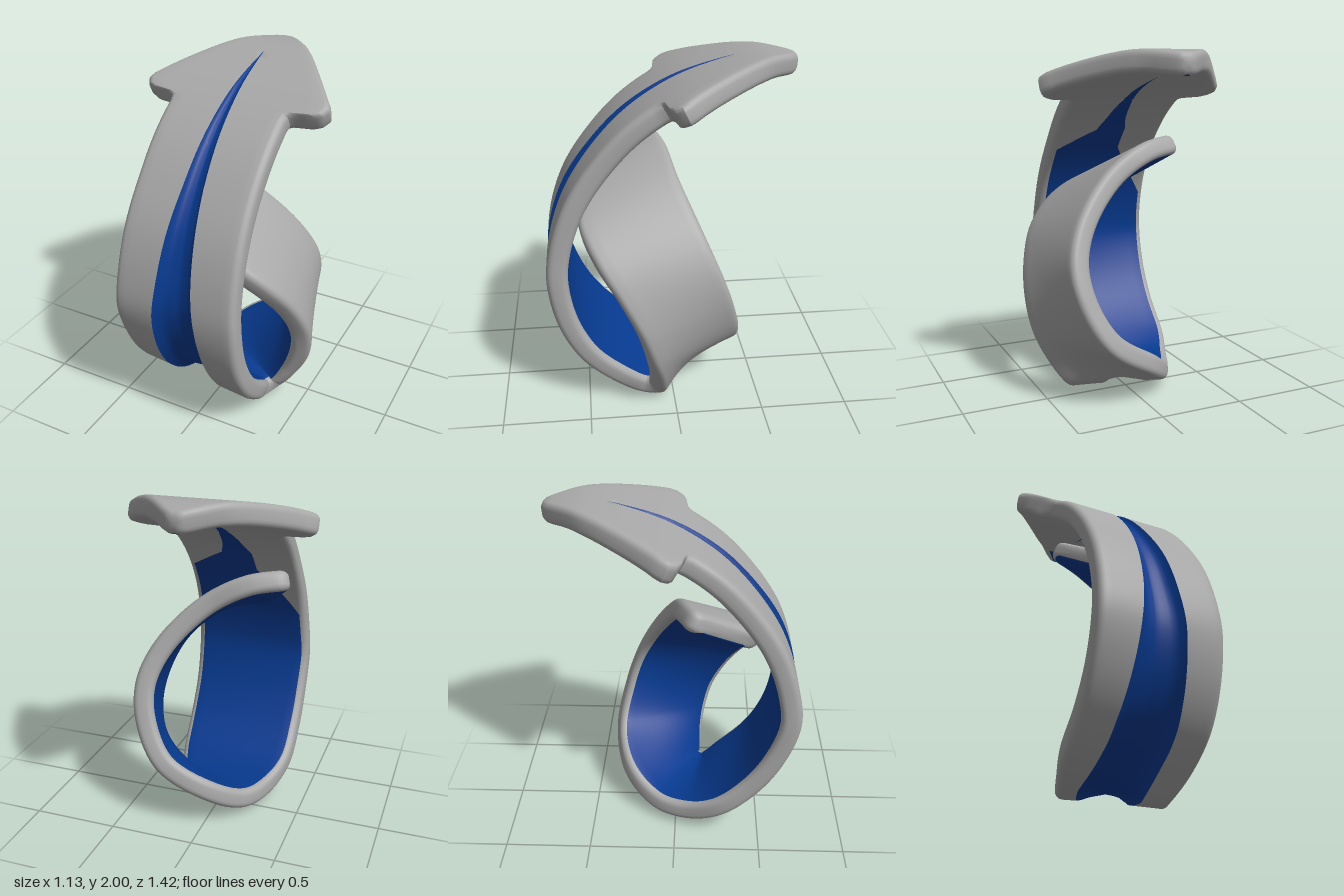
import * as THREE from 'three';
import { toCreasedNormals } from 'three/addons/utils/BufferGeometryUtils.js';

const THICK = 0.12, BEVEL = 0.037, SIDE = 6, MID = 12, ARC = 4;

// piecewise linear lookup in [t, value] pairs
function lookup(list, t) {
  if (t <= list[0][0]) return list[0][1];
  for (let i = 1; i < list.length; i++) {
    const [a, va] = list[i - 1], [b, vb] = list[i];
    if (t <= b) return va + (vb - va) * (t - a) / (b - a);
  }
  return list[list.length - 1][1];
}

// side profile [z, y] of the head and the front of the band
const profile = [[-0.71, 1.985], [-0.5, 2], [-0.25, 1.95], [0, 1.86], [0.25, 1.7], [0.45, 1.49],
  [0.6, 1.26], [0.69, 1], [0.71, 0.8], [0.66, 0.53], [0.54, 0.3]];
// half width of the band down the front
const frontWidth = [[0, 0.34], [5, 0.345], [8, 0.37], [10, 0.37]];
// how far the band's right edge has begun to turn inwards
const frontTwist = [[8, 0], [9, 0.03], [10, 0.05]];
// back and front edges of the coil that follows
const coilBack = [[-0.38, 0.15, 0.29], [-0.32, 0.06, 0.08], [-0.22, 0.06, -0.14], [-0.04, 0.18, -0.33],
  [0.25, 0.37, -0.4], [0.4, 0.63, -0.345], [0.43, 0.86, -0.265], [0.34, 1.09, -0.165],
  [0.11, 1.34, -0.045], [-0.14, 1.48, 0.02], [-0.38, 1.52, 0.11]];
const coilFront = [[0.335, 0.125, 0.36], [0.3, 0.003, 0.185], [0.36, 0.035, 0.075], [0.47, 0.19, 0.075],
  [0.55, 0.37, 0.13], [0.575, 0.57, 0.2], [0.54, 0.78, 0.31], [0.45, 0.97, 0.43],
  [0.28, 1.13, 0.52], [0.08, 1.23, 0.525], [-0.18, 1.28, 0.49]];

// half width of the arrow head
const headWidth = [[0, 0.03], [0.04, 0.045], [0.1, 0.06], [0.25, 0.092], [0.5, 0.136], [2.64, 0.503], [2.8, 0.532],
  [2.95, 0.545], [3.1, 0.525], [3.17, 0.49], [3.2, 0.42], [3.22, 0.38], [3.28, 0.35], [3.4, 0.34]];
// half width of the outer groove, and its drift across the band
const grooveWidth = [[1.5, 0], [5, 0.06], [6, 0.085], [8, 0.13], [9, 0.15], [10, 0.168], [12, 0.175],
  [13.1, 0.13], [13.45, 0.08], [13.6, 0]];
const grooveShift = [[10.5, 0], [12, -0.08], [13.6, -0.28]];
// share of the inner face that is blue, and its drift across the band
const liningShare = [[0.04, 0], [0.1, 0.85], [0.6, 0.85], [0.65, 0], [1.6, 0], [3.1, 0.05], [3.4, 0.12],
  [4, 0.2], [4.4, 0.3], [5, 0.65], [6.5, 1]];
const liningShift = [[4.4, 0], [5, 0.35], [6.5, 0]];

function edgeCurve(side, coil) {
  const front = profile.map(([z, y], i) => {
    const twist = side < 0 ? lookup(frontTwist, i) : 0;
    return new THREE.Vector3(-0.02 + side * lookup(frontWidth, i), y + twist * 0.6, z - twist);
  });
  return new THREE.CatmullRomCurve3([...front, ...coil.map(p => new THREE.Vector3(...p))]);
}

// columns across a face, gathered so that the middle ones fill c - g to c + g
function columns(g, c) {
  const out = [];
  for (let i = 0; i < SIDE; i++) out.push(-1 + (1 + c - g) * i / SIDE);
  for (let i = 0; i <= MID; i++) out.push(c + g * (2 * i / MID - 1));
  for (let i = 1; i <= SIDE; i++) out.push(c + g + (1 - c - g) * i / SIDE);
  return out;
}

function bandGeometry() {
  const left = edgeCurve(-1, coilBack), right = edgeCurve(1, coilFront);
  const last = left.points.length - 1;

  // rows along the band, dense around the head's corners
  const rows = headWidth.map(p => p[0]);
  for (let t = 0.6; t < 2.6; t += 0.15) rows.push(t);
  for (let t = 3.5; t < last - 0.35; t += 0.1) rows.push(t);
  for (const d of [0.3, 0.2, 0.12, 0.06, 0.02, 0]) rows.push(last - d);
  rows.push(13.55, 1.53);
  rows.sort((a, b) => a - b);

  const position = [], grey = [], blue = [];
  let ringSize = 0;
  for (const t of rows) {
    const p = t / last, e = 0.002;
    const L = left.getPoint(p), R = right.getPoint(p);
    const p0 = Math.max(0, p - e), p1 = Math.min(1, p + e);
    const dL = left.getPoint(p1).sub(left.getPoint(p0));
    const dR = right.getPoint(p1).sub(right.getPoint(p0));
    const mid = L.clone().lerp(R, 0.5), across = R.clone().sub(L);
    let h = t < 3.4 ? lookup(headWidth, t) : across.length() / 2;
    const toEnd = (last - t) / 0.3;
    if (toEnd < 1) h *= 0.75 + 0.25 * Math.sqrt(Math.max(0, 1 - (1 - toEnd) ** 2));
    across.normalize();
    const b = Math.min(BEVEL, h * 0.8), flat = h - b;
    const puff = Math.min(1, 0.55 + 0.45 * Math.sqrt(Math.max(0, Math.min(t / 0.12, toEnd * 2))));

    const gw = lookup(grooveWidth, t), deep = 0.075 * Math.min(1, gw / 0.1);
    const shift = lookup(grooveShift, t), g = Math.min(0.7, gw / flat), ring = [];
    columns(g, shift).forEach(s => {
      const v = g > 0 ? Math.min(1, Math.abs(s - shift) / g) : 1;
      ring.push([s * flat, deep * (0.65 * (1 - v ** 6) + 0.35 * (1 - v))]);
    });
    const rim = [];
    for (let i = 1; i <= ARC; i++) {
      const a = i / ARC * Math.PI / 2;
      rim.push([flat + b * Math.sin(a), BEVEL * (1 - Math.cos(a))]);
    }
    for (let i = ARC; i >= 1; i--) rim.push([rim[i - 1][0], THICK - rim[i - 1][1]]);
    ring.push(...rim);
    columns(lookup(liningShare, t), lookup(liningShift, t)).reverse().forEach(s => ring.push([s * flat, THICK]));
    ring.push(...rim.slice().reverse().map(([x, d]) => [-x, d]));

    ringSize = ring.length;
    for (const [x, d] of ring) {
      const s = THREE.MathUtils.clamp(x / h, -1, 1);
      const n = dL.clone().lerp(dR, (s + 1) / 2).cross(across).normalize();
      const depth = THICK / 2 + (d - THICK / 2) * puff;
      const v = mid.clone().addScaledVector(across, x).addScaledVector(n, -depth);
      position.push(v.x, v.y, v.z);
    }
  }

  // skin, sorted by colour
  const faceCols = 2 * SIDE + MID + 1, innerStart = faceCols + 2 * ARC;
  const inMiddle = c => c >= SIDE && c < SIDE + MID;
  for (let i = 0; i < rows.length - 1; i++) {
    const tm = (rows[i] + rows[i + 1]) / 2;
    for (let j = 0; j < ringSize; j++) {
      const groove = inMiddle(j) && lookup(grooveWidth, tm) > 0;
      const lining = inMiddle(j - innerStart) && lookup(liningShare, tm) > 0;
      const k = (j + 1) % ringSize, a = i * ringSize, c = a + ringSize;
      (groove || lining ? blue : grey).push(a + j, c + j, c + k, a + j, c + k, a + k);
    }
  }
  // end caps
  const end = (rows.length - 1) * ringSize;
  for (const [start, flip] of [[0, false], [end, true]]) {
    const centre = position.length / 3, sum = [0, 0, 0];
    for (let j = 0; j < ringSize; j++)
      for (let q = 0; q < 3; q++) sum[q] += position[(start + j) * 3 + q] / ringSize;
    position.push(...sum);
    for (let j = 0; j < ringSize; j++) {
      const a = start + j, c = start + (j + 1) % ringSize;
      grey.push(centre, flip ? c : a, flip ? a : c);
    }
  }

  const geo = new THREE.BufferGeometry();
  geo.setAttribute('position', new THREE.Float32BufferAttribute(position, 3));
  geo.setIndex([...grey, ...blue]);
  const out = toCreasedNormals(geo, 0.65);
  out.clearGroups();
  out.addGroup(0, grey.length, 0);
  out.addGroup(grey.length, blue.length, 1);
  return out;
}

export function createModel() {
  const metal = new THREE.MeshStandardMaterial({ color: 0xa8a8a8 });
  metal.name = 'grey metal';
  const enamel = new THREE.MeshStandardMaterial({ color: 0x073a90 });
  enamel.name = 'blue enamel';

  const group = new THREE.Group();
  group.name = 'arrowRing';
  const band = new THREE.Mesh(bandGeometry(), [metal, enamel]);
  band.name = 'coiledArrowBand';
  group.add(band);
  return group;
}
